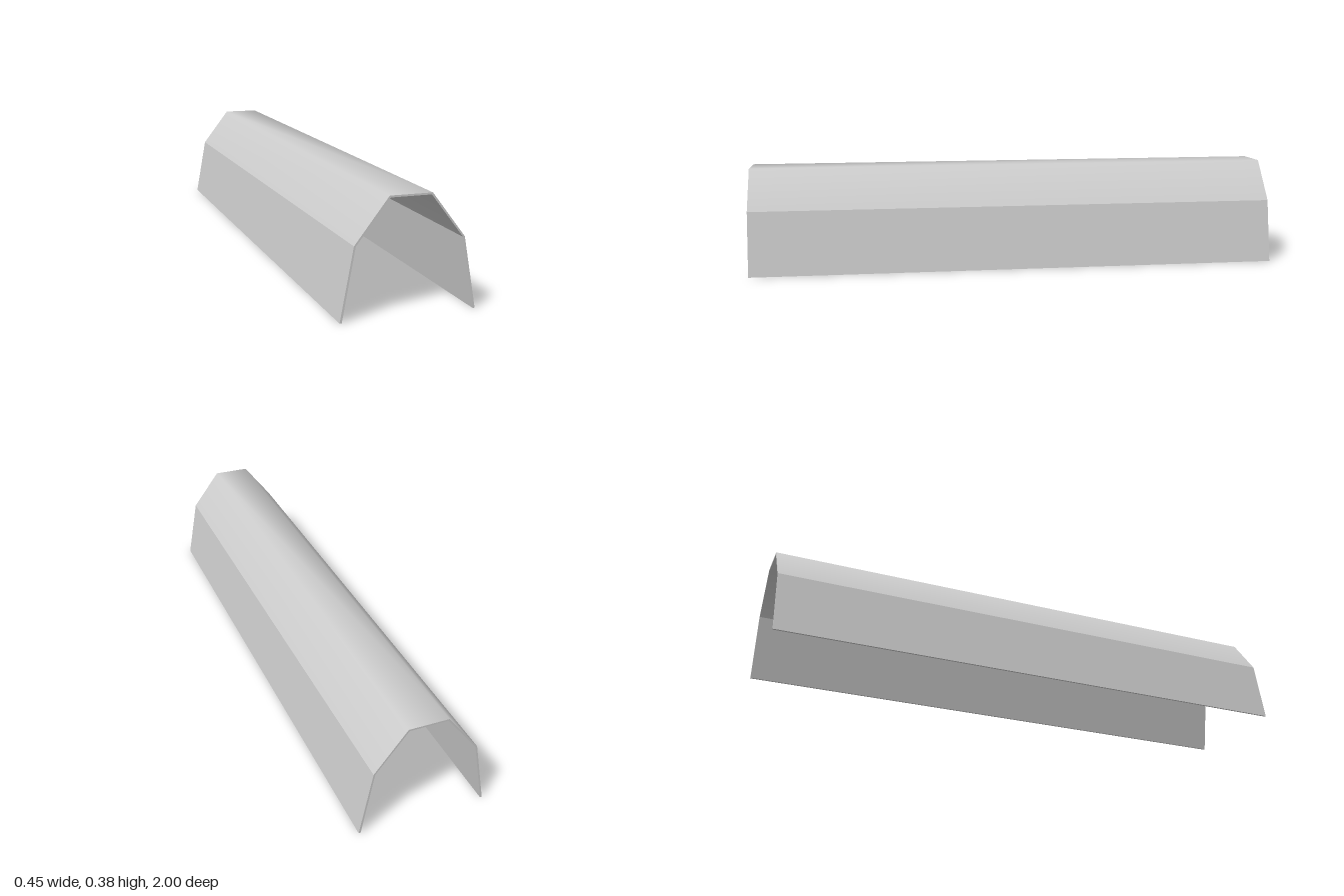
import * as THREE from 'three';

const HALF_LENGTH = 1;

// Half profiles (x >= 0), from the foot of the wall up to the crown
const OUTER = [[0.2265, 0], [0.183, 0.236], [0.0705, 0.382]];
const INNER = [[0.2195, 0], [0.177, 0.2345], [0.067, 0.376]];

// Completes a half profile, running from +x over the crown to -x
const mirrored = (half) => [...half, ...half.map(([x, y]) => [-x, y]).reverse()];

// Sweeps a profile line along z, smooth across its own corners
function strip(points) {
  const positions = [];
  const index = [];
  points.forEach(([x, y], i) => {
    positions.push(x, y, -HALF_LENGTH, x, y, HALF_LENGTH);
    if (i === 0) return;
    const a = 2 * (i - 1);
    index.push(a, a + 2, a + 1, a + 1, a + 2, a + 3);
  });
  const geometry = new THREE.BufferGeometry();
  geometry.setAttribute('position', new THREE.Float32BufferAttribute(positions, 3));
  geometry.setIndex(index);
  geometry.computeVertexNormals();
  return geometry;
}

export function createModel() {
  const group = new THREE.Group();
  group.name = 'archedCover';
  const material = new THREE.MeshStandardMaterial({ color: 0xcccccc });
  const add = (name, geometry) => {
    const mesh = new THREE.Mesh(geometry, material);
    mesh.name = name;
    group.add(mesh);
    return mesh;
  };

  const outer = mirrored(OUTER);
  const inner = mirrored(INNER);
  const innerBack = [...inner].reverse();

  // Smooth vault over flat side walls, outside and inside
  add('outerVault', strip(outer.slice(1, 5)));
  add('outerLeftWall', strip(outer.slice(0, 2)));
  add('outerRightWall', strip(outer.slice(4)));
  add('innerVault', strip(innerBack.slice(1, 5)));
  add('innerRightWall', strip(innerBack.slice(0, 2)));
  add('innerLeftWall', strip(innerBack.slice(4)));

  // Thin bottom edges of the walls
  add('leftBottomEdge', strip([inner[0], outer[0]]));
  add('rightBottomEdge', strip([outer[5], inner[5]]));

  // Arch-shaped rims closing the sheet at both ends
  const rim = new THREE.Shape([...outer, ...innerBack].map(([x, y]) => new THREE.Vector2(x, y)));
  const rimGeometry = new THREE.ShapeGeometry(rim);
  add('frontRim', rimGeometry).position.z = HALF_LENGTH;
  const backRim = add('backRim', rimGeometry);
  backRim.position.z = -HALF_LENGTH;
  backRim.rotation.y = Math.PI;

  return group;
}
